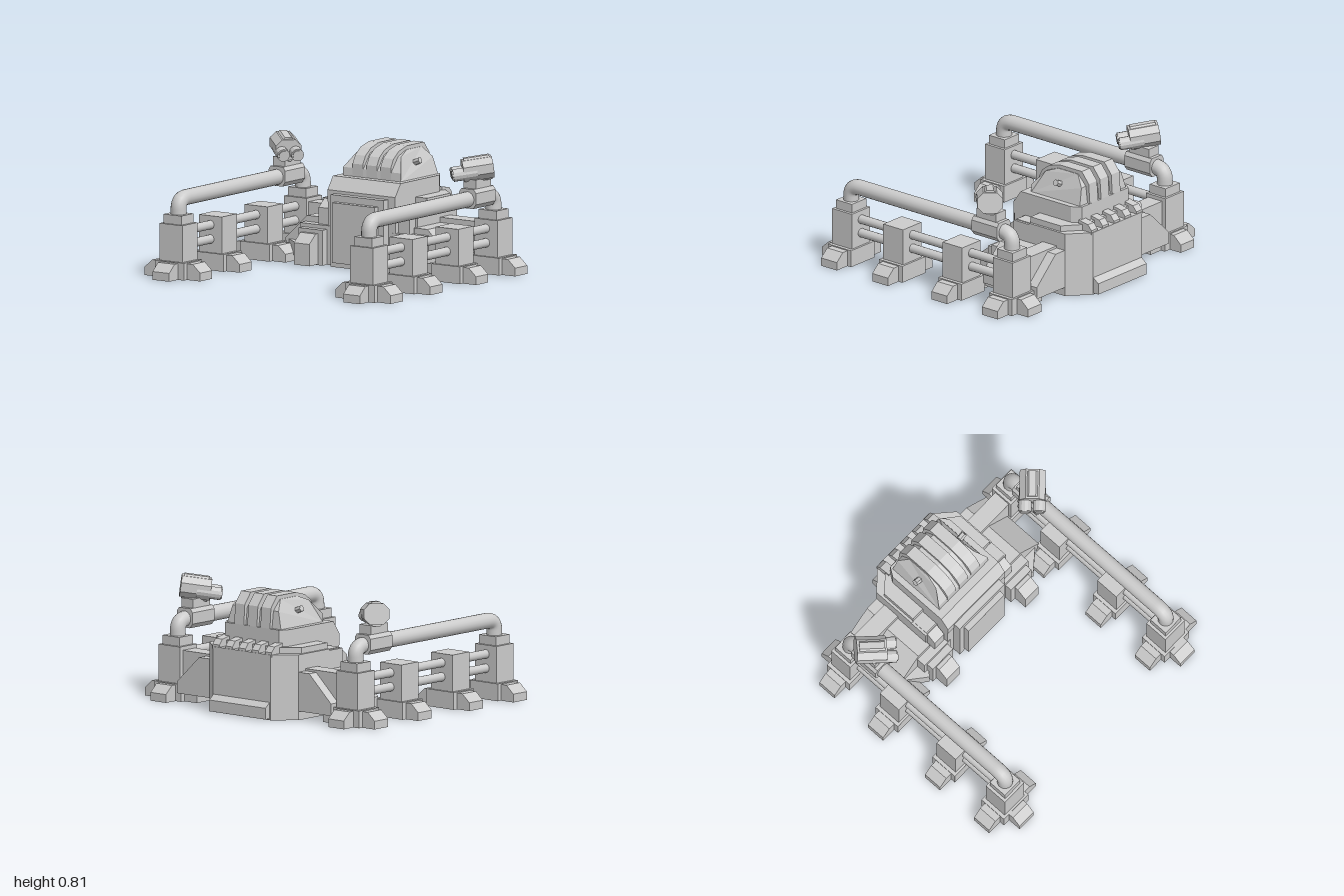
import * as THREE from 'three';

const grey = new THREE.MeshStandardMaterial({ color: 0xcccccc, flatShading: true });
const smooth = new THREE.MeshStandardMaterial({ color: 0xcccccc });

function add(parent, name, geometry, material = grey) {
  const mesh = new THREE.Mesh(geometry, material);
  mesh.name = name;
  parent.add(mesh);
  return mesh;
}

// Box given by its limits on each axis
function box(parent, name, x0, x1, y0, y1, z0, z1) {
  const g = new THREE.BoxGeometry(Math.abs(x1 - x0), y1 - y0, z1 - z0);
  g.translate((x0 + x1) / 2, (y0 + y1) / 2, (z0 + z1) / 2);
  return add(parent, name, g);
}

function extrude(points, depth) {
  const shape = new THREE.Shape(points.map(([a, b]) => new THREE.Vector2(a, b)));
  return new THREE.ExtrudeGeometry(shape, { depth, bevelEnabled: false }).translate(0, 0, -depth / 2);
}

// Side profile of (z, y) points, extruded across x
const sideProfile = (points, width, x = 0) =>
  extrude(points, width).rotateY(-Math.PI / 2).translate(x, 0, 0);

// Plan of (x, z) points, extruded from y0 to y1
const plan = (points, y0, y1) =>
  extrude(points, y1 - y0).rotateX(Math.PI / 2).translate(0, (y0 + y1) / 2, 0);

// Symmetric plan from its +x half
const mirrored = half => [...half, ...half.map(([x, z]) => [-x, z]).reverse()];

function makePost(z, corner) {
  const post = new THREE.Group();
  post.name = 'post';
  box(post, 'footBase', -0.118, 0.118, 0, 0.115, -0.1, 0.1);
  box(post, 'postColumn', -0.093, 0.093, 0.1, 0.36, -0.085, 0.085);
  if (corner) box(post, 'postCap', -0.073, 0.073, 0.36, 0.42, -0.068, 0.068);
  // Sloped toes: two sideways, and one outward at the corners
  const toes = [[Math.PI / 2, 0.225], [-Math.PI / 2, 0.225]];
  if (corner) toes.push([z > 0 ? 0 : Math.PI, 0.195]);
  for (const [angle, reach] of toes) {
    const g = sideProfile([[0.07, 0], [reach, 0], [reach, 0.055], [reach - 0.06, 0.108], [0.07, 0.108]], 0.135);
    add(post, 'toe', g.rotateY(angle));
  }
  return post;
}

function makeTurret() {
  const turret = new THREE.Group();
  turret.name = 'turret';
  const octagon = (w, h, c) => mirrored([[w - c, -h], [w, c - h], [w, h - c], [w - c, h]]);
  add(turret, 'turretBody', extrude(octagon(0.085, 0.07, 0.04), 0.2).translate(0, 0.01, -0.03));
  add(turret, 'turretBand', extrude(octagon(0.035, 0.082, 0.012), 0.17).translate(0, 0.01, -0.03));
  for (const s of [-1, 1]) {
    add(turret, 'barrel', new THREE.CylinderGeometry(0.042, 0.042, 0.16, 12).rotateX(Math.PI / 2).translate(s * 0.047, -0.005, 0.06));
    add(turret, 'barrelTip', new THREE.CylinderGeometry(0.033, 0.033, 0.012, 12).rotateX(Math.PI / 2).translate(s * 0.047, -0.005, 0.142));
  }
  return turret;
}

// One side arm: four posts, rails, a large bent pipe and a turret
function makeArm(s) {
  const arm = new THREE.Group();
  arm.name = s > 0 ? 'leftArm' : 'rightArm';
  arm.position.x = s * 0.775;
  for (const z of [0.74, 0.3, -0.21, -0.645]) {
    const post = makePost(z, Math.abs(z) > 0.5);
    post.position.z = z;
    arm.add(post);
  }
  for (const y of [0.3, 0.205]) {
    add(arm, 'rail', new THREE.CylinderGeometry(0.03, 0.03, 1.38, 14).rotateX(Math.PI / 2).translate(0, y, 0.048), smooth);
  }
  const v = (y, z) => new THREE.Vector3(0, y, z);
  const path = new THREE.CurvePath();
  path.add(new THREE.LineCurve3(v(0.4, 0.74), v(0.45, 0.74)));
  path.add(new THREE.QuadraticBezierCurve3(v(0.45, 0.74), v(0.52, 0.74), v(0.52, 0.66)));
  path.add(new THREE.LineCurve3(v(0.52, 0.66), v(0.52, -0.565)));
  path.add(new THREE.QuadraticBezierCurve3(v(0.52, -0.565), v(0.52, -0.645), v(0.45, -0.645)));
  path.add(new THREE.LineCurve3(v(0.45, -0.645), v(0.4, -0.645)));
  add(arm, 'largePipe', new THREE.TubeGeometry(path, 90, 0.052, 18), smooth);

  // Turret mount clamped on the pipe
  const clamp = mirrored([[0.045, 0.46], [0.068, 0.49], [0.068, 0.565], [0.05, 0.59]]);
  add(arm, 'pipeClamp', extrude(clamp, 0.22).translate(0, 0, -0.465));
  box(arm, 'turretNeck', -0.05, 0.05, 0.57, 0.65, -0.55, -0.38);
  const turret = makeTurret();
  turret.position.set(-s * 0.015, 0.7, -0.44);
  turret.rotation.set(0.14, -s * 0.84, 0, 'YXZ');
  arm.add(turret);
  return arm;
}

function makeBody() {
  const body = new THREE.Group();
  body.name = 'body';
  // Hull with chamfered rear corners and a sloped rear rim
  add(body, 'hull', plan(mirrored([[0.275, -0.24], [0.275, -0.46], [0.387, -0.46], [0.387, -0.77], [0.25, -0.895]]), 0, 0.435));
  add(body, 'hullTop', plan(mirrored([[0.275, -0.24], [0.275, -0.46], [0.37, -0.46], [0.37, -0.72], [0.25, -0.82]]), 0.435, 0.475));
  add(body, 'rearLedge', sideProfile([[-0.88, 0.01], [-0.938, 0.01], [-0.938, 0.085], [-0.88, 0.13]], 0.49));
  for (let i = -2; i <= 2; i++) {
    add(body, 'rearTooth', sideProfile([[-0.78, 0.42], [-0.89, 0.42], [-0.89, 0.45], [-0.86, 0.485], [-0.78, 0.5]], 0.06, i * 0.114));
  }

  // Raised upper block with sloped brow
  add(body, 'upperBlock', plan(mirrored([[0.275, -0.33], [0.275, -0.73], [0.235, -0.79]]), 0.43, 0.585));
  add(body, 'brow', sideProfile([[-0.34, 0.42], [-0.235, 0.42], [-0.235, 0.5], [-0.295, 0.585], [-0.34, 0.585]], 0.55));
  box(body, 'frontFrame', -0.215, 0.215, 0, 0.48, -0.3, -0.185);
  box(body, 'frontDoor', -0.173, 0.173, 0.035, 0.435, -0.2, -0.145);

  // Tapered dome: side profile narrowed towards the top
  const dome = sideProfile([[-0.35, 0.58], [-0.355, 0.64], [-0.43, 0.735], [-0.52, 0.77], [-0.69, 0.77], [-0.755, 0.7], [-0.77, 0.58]], 0.47);
  const p = dome.attributes.position;
  for (let i = 0; i < p.count; i++) {
    p.setX(i, p.getX(i) * (1 - 0.32 * Math.max(0, p.getY(i) - 0.64) / 0.13));
  }
  dome.computeVertexNormals();
  add(body, 'dome', dome);
  const fin = [[-0.35, 0.58], [-0.35, 0.67], [-0.38, 0.725], [-0.44, 0.77], [-0.53, 0.795], [-0.72, 0.795], [-0.78, 0.72], [-0.79, 0.58]];
  for (const x of [-0.114, 0, 0.114]) add(body, 'domeFin', sideProfile(fin, 0.083, x));
  for (const s of [-1, 1]) {
    add(body, 'domeBolt', new THREE.CylinderGeometry(0.022, 0.022, 0.06, 6).rotateZ(Math.PI / 2 + s * 0.4).translate(s * 0.21, 0.69, -0.565));
  }
  return body;
}

// Stepped front buttress and the wing joining the body to an arm
function makeFlank(s) {
  const flank = new THREE.Group();
  flank.name = s > 0 ? 'leftFlank' : 'rightFlank';
  const column = [[-0.5, 0], [-0.265, 0], [-0.265, 0.37], [-0.34, 0.43], [-0.5, 0.43]];
  add(flank, 'frontColumn', sideProfile(column, 0.09, s * 0.325));
  box(flank, 'columnSide', s * 0.27, s * 0.387, 0, 0.425, -0.5, -0.33);
  box(flank, 'buttress', s * 0.25, s * 0.5, 0, 0.26, -0.46, -0.235);
  box(flank, 'buttressStep', s * 0.28, s * 0.475, 0, 0.235, -0.24, -0.185);
  const nose = [[-0.24, 0.005], [-0.09, 0.005], [-0.09, 0.15], [-0.16, 0.21], [-0.24, 0.21]];
  add(flank, 'buttressNose', sideProfile(nose, 0.125, s * 0.38));

  // Wing: beam, sloped web in front and skirt behind
  box(flank, 'wingBeam', s * 0.36, s * 0.7, 0.06, 0.335, -0.7, -0.58);
  const web = [[0.38, 0.06], [0.67, 0.06], [0.67, 0.13], [0.49, 0.3], [0.38, 0.3]].map(([x, y]) => [s * x, y]);
  add(flank, 'wingWeb', extrude(web, 0.3).translate(0, 0, -0.45));
  const rear = [[0.38, 0.06], [0.67, 0.06], [0.67, 0.14], [0.48, 0.32], [0.38, 0.32]].map(([x, y]) => [s * x, y]);
  add(flank, 'wingSkirt', extrude(rear, 0.08).translate(0, 0, -0.73));
  const brace = [[0.4, -0.31], [0.5, -0.19], [0.66, -0.32], [0.66, -0.4], [0.4, -0.4]].map(([x, z]) => [s * x, z]);
  add(flank, 'wingBrace', plan(brace, 0.04, 0.13));
  return flank;
}

export function createModel() {
  const model = new THREE.Group();
  model.name = 'fortifiedGate';
  model.add(makeBody());
  for (const s of [-1, 1]) model.add(makeArm(s), makeFlank(s));
  return model;
}
